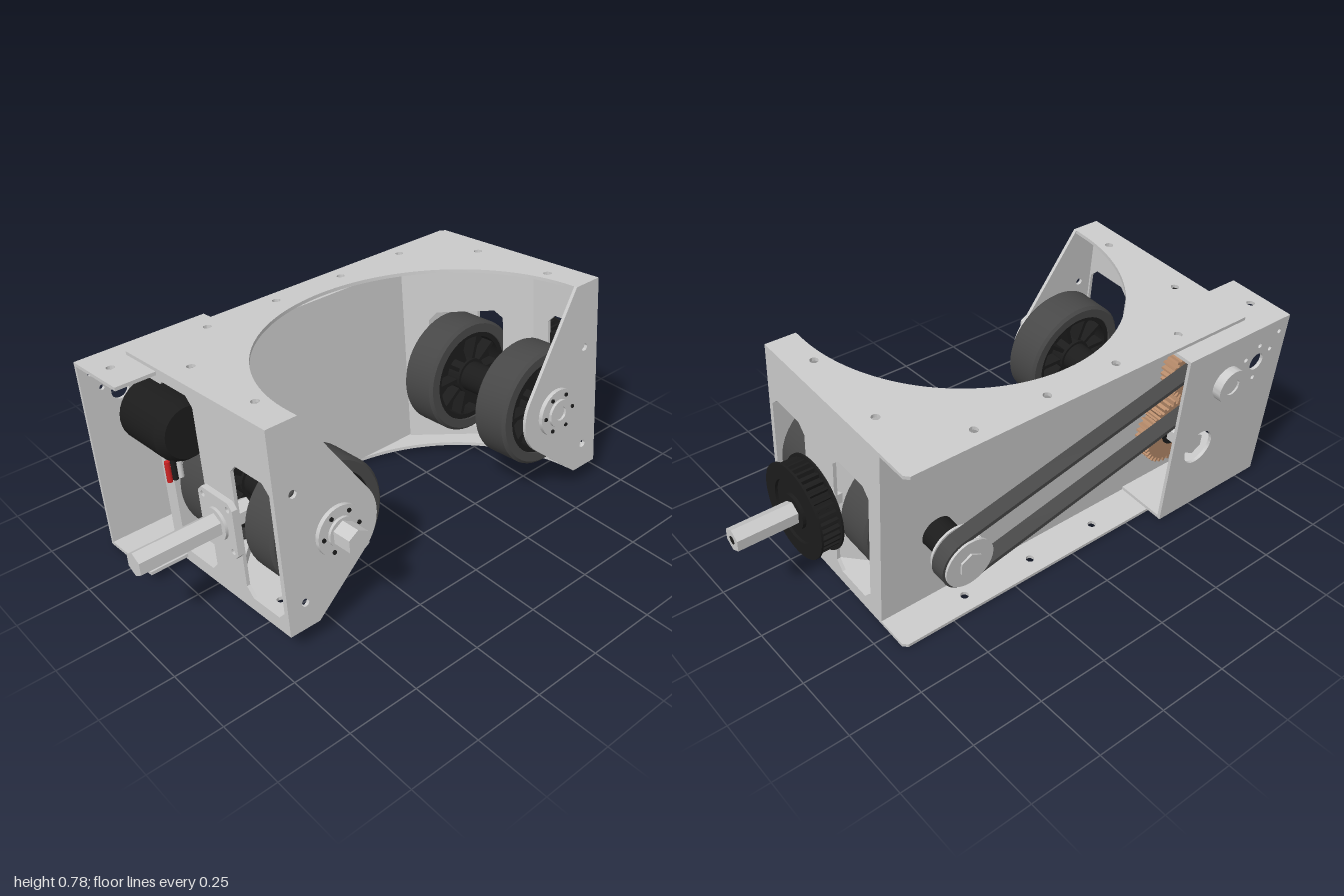
import * as THREE from 'three';
import { toCreasedNormals } from 'three/addons/utils/BufferGeometryUtils.js';

const mat = (color, flatShading = false) =>
  new THREE.MeshStandardMaterial({ color, flatShading, side: THREE.DoubleSide });
const grey = mat(0xcccccc), greyFlat = mat(0xcccccc, true), black = mat(0x1c1c1c), rubber = mat(0x484848);
const bronze = mat(0xb98d6c), red = mat(0xcc2222);

const TOP = 0.423, BOT = -0.283, FRONT = 0.289, BACK = -0.33, HALF = 0.69, T = 0.012;
const AX = 0.48;                       // roller axle offset from the centre
const UP = [-0.555, 0.245];            // upper gear shaft
const MOTOR = [-0.70, 0.27];

function poly(points) { return new THREE.Shape(points.map(p => new THREE.Vector2(...p))); }
function rect(x0, y0, x1, y1, c = 0) { // rectangle with chamfered corners
  return c ? poly([[x0 + c, y0], [x1 - c, y0], [x1, y0 + c], [x1, y1 - c], [x1 - c, y1], [x0 + c, y1], [x0, y1 - c], [x0, y0 + c]])
    : poly([[x0, y0], [x1, y0], [x1, y1], [x0, y1]]);
}
function disc(x, y, r) { return new THREE.Shape().absarc(x, y, r, 0, Math.PI * 2, false); }
function ring(r, bore) { const s = disc(0, 0, r); s.holes.push(disc(0, 0, bore)); return s; }
function gearShape(r, teeth, depth, bore) {
  const pts = [];
  for (let i = 0; i < teeth; i++)
    for (const [f, h] of [[0, 0], [0.25, 0], [0.4, 1], [0.7, 1], [0.85, 0]]) {
      const a = (i + f) / teeth * Math.PI * 2, q = r - depth * (1 - h);
      pts.push([q * Math.cos(a), q * Math.sin(a)]);
    }
  const s = poly(pts);
  s.holes.push(disc(0, 0, bore));
  return s;
}
function extrude(shape, depth) {
  return toCreasedNormals(new THREE.ExtrudeGeometry(shape, { depth, bevelEnabled: false, curveSegments: 32 }), 0.5);
}
function add(parent, name, geo, material, x = 0, y = 0, z = 0) {
  const m = new THREE.Mesh(geo, material);
  m.name = name;
  m.position.set(x, y, z);
  parent.add(m);
  return m;
}
// Rod between z0 and z1; six sides makes a hex shaft
function rodZ(parent, name, r, z0, z1, material, x, y, sides = 32) {
  return add(parent, name, new THREE.CylinderGeometry(r, r, z1 - z0, sides).rotateX(Math.PI / 2), material, x, y, (z0 + z1) / 2);
}
function slab(parent, name, shape, z0, z1, material, x = 0, y = 0) {
  return add(parent, name, extrude(shape, z1 - z0), material, x, y, z0);
}

function wheel(parent, x, z) {
  const g = new THREE.Group();
  g.name = 'rollerWheel';
  g.position.set(x, 0, z);
  const h = 0.07;
  const profile = [[0.168, -h], [0.2, -h], [0.21, -h + 0.01], [0.21, h - 0.01], [0.2, h], [0.168, h], [0.168, -h]];
  const tread = new THREE.LatheGeometry(profile.map(p => new THREE.Vector2(...p)), 48).rotateX(Math.PI / 2);
  add(g, 'tread', toCreasedNormals(tread, 0.5), rubber);
  slab(g, 'rim', ring(0.168, 0.15), -0.062, 0.062, black);
  slab(g, 'wheelHub', ring(0.065, 0.03), -0.065, 0.065, black);
  slab(g, 'web', ring(0.155, 0.05), -0.008, 0.008, black);
  for (let i = 0; i < 10; i++) {
    const spoke = new THREE.BoxGeometry(0.1, 0.014, 0.11).translate(0.107, 0, 0);
    add(g, 'spoke', spoke, black).rotation.z = i * Math.PI / 5;
  }
  parent.add(g);
}

function bearing(parent, x, y, z) {
  slab(parent, 'bearingFlange', ring(0.085, 0.03), z, z + 0.015, grey, x, y);
  slab(parent, 'bearingRace', ring(0.05, 0.025), z + 0.015, z + 0.025, grey, x, y);
  for (let i = 0; i < 6; i++) {
    const a = i * Math.PI / 3;
    rodZ(parent, 'rivet', 0.007, z + 0.01, z + 0.02, black, x + 0.067 * Math.cos(a), y + 0.067 * Math.sin(a), 8);
  }
}

function beltPulley(parent, x, y) {
  slab(parent, 'beltPulley', gearShape(0.08, 24, 0.008, 0.03), -0.485, -0.42, grey, x, y);
  for (const z of [-0.493, -0.42]) slab(parent, 'pulleyFlange', ring(0.088, 0.03), z, z + 0.008, grey, x, y);
}

function buildFrame(g) {
  // Top and bottom plates with the round mouth
  const mouth = 0.58, cz = 0.25, plate = poly([[-HALF, FRONT], [-HALF, -0.44], [-HALF + 0.015, -0.455], [HALF - 0.015, -0.455], [HALF, -0.44], [HALF, FRONT], [mouth, FRONT]]);
  plate.absarc(0, cz, mouth, 0, -Math.PI, true);
  plate.lineTo(-mouth, FRONT);
  for (const s of [-1, 1])
    for (const [x, z] of [[0.14, -0.397], [0.415, -0.397], [0.61, -0.193], [0.61, 0.135]]) plate.holes.push(disc(s * x, z, 0.014));
  for (const [name, y] of [['topPlate', TOP], ['bottomPlate', BOT + T]])
    add(g, name, extrude(plate, T).rotateX(Math.PI / 2), grey, 0, y, 0);

  // Back panel with holes for the roller axles
  const back = rect(-HALF, BOT + T, HALF, TOP - T);
  for (const s of [-1, 1]) back.holes.push(disc(s * AX, 0, 0.058));
  slab(g, 'backPanel', back, BACK, BACK + T, grey);

  for (const s of [-1, 1]) {
    // Side plates with wheel windows, one made taller for the motor
    const side = rect(BACK, BOT + T, FRONT, TOP - T);
    side.holes.push(rect(-0.27, -0.235, -0.08, s < 0 ? 0.385 : 0.235, 0.03), rect(0.08, -0.235, 0.27, 0.235, 0.03));
    add(g, 'sidePlate', extrude(side, T).rotateY(-Math.PI / 2), grey, s > 0 ? HALF : -HALF + T, 0, 0);

    // Slanted inner guides, cut open for the rear wheels
    const guide = rect(0, BOT + T, 0.465, TOP - T);
    guide.holes.push(rect(0.09, -0.235, 0.355, 0.235, 0.03));
    add(g, 'innerGuide', extrude(guide, 0.008).rotateY(s > 0 ? -Math.PI / 4 : -3 * Math.PI / 4), grey, s * 0.35, 0, BACK + T);

    // Front plates with a rounded nose around the axle
    const rad = Math.PI / 180, front = poly([[0.58, BOT], [HALF, BOT], [HALF, TOP], [0.58, TOP]]);
    front.absarc(AX, 0, 0.15, 146 * rad, 229.5 * rad, false);
    for (const y of [-0.19, 0.19]) front.holes.push(disc(0.625, y, 0.014));
    const geo = extrude(front, T).translate(0, 0, -T / 2);
    add(g, 'frontPlate', s > 0 ? geo : geo.rotateY(Math.PI), grey, 0, 0, FRONT - T / 2);
  }
}

function buildRollers(g) {
  for (const s of [-1, 1]) {
    const x = s * AX;
    for (const z of [-0.175, 0.175]) wheel(g, x, z);
    rodZ(g, 'axleSleeve', 0.055, -0.3, 0.12, black, x, 0);
    rodZ(g, 'axleSpacer', 0.06, 0.12, 0.275, black, x, 0);
    bearing(g, x, 0, FRONT);
    rodZ(g, 'rollerAxle', 0.042, -0.5, s < 0 ? 0.385 : 0.305, greyFlat, x, 0, 6);
    rodZ(g, 'rearCollar', 0.056, -0.41, -0.3, black, x, 0);

    // Pivot shaft and its square bearing block
    const hex = new THREE.CylinderGeometry(0.04, 0.04, 0.4, 6).rotateY(Math.PI / 6).rotateZ(Math.PI / 2);
    add(g, 'pivotShaft', hex, greyFlat, s * 0.8, 0, 0);
    const block = rect(-0.09, -0.1, 0.09, 0.1, 0.02);
    for (const u of [-0.065, 0.065]) for (const v of [-0.075, 0.075]) block.holes.push(disc(u, v, 0.01));
    add(g, 'pivotBlock', extrude(block, 0.02).rotateY(-Math.PI / 2), grey, s > 0 ? HALF + 0.02 : -HALF, 0, 0);
    add(g, 'pivotBearing', new THREE.CylinderGeometry(0.055, 0.055, 0.03, 32).rotateZ(Math.PI / 2), grey, s * 0.705, 0, 0);
  }
}

function buildDrivePulley(g) {
  const p = new THREE.Group();
  p.name = 'drivePulley';
  p.position.x = 0.71;
  p.rotation.y = Math.PI / 2;
  slab(p, 'pulleyTeeth', gearShape(0.155, 36, 0.014, 0.11), 0, 0.08, black);
  for (const z of [0, 0.073]) slab(p, 'drivePulleyFlange', ring(0.164, 0.11), z, z + 0.007, black);
  slab(p, 'drivePulleyWeb', ring(0.112, 0.03), 0.01, 0.07, black);
  slab(p, 'drivePulleyHub', ring(0.06, 0.03), 0, 0.082, black);
  g.add(p);
  add(g, 'shaftBore', new THREE.CylinderGeometry(0.014, 0.014, 0.004, 16).rotateZ(Math.PI / 2), black, 0.9985, 0, 0);
}

function buildDrive(g) {
  // Two meshing gears, the upper one driven by the motor pinion
  const teeth = gearShape(0.134, 36, 0.016, 0.035);
  slab(g, 'upperGear', teeth, -0.405, -0.35, bronze, ...UP);
  slab(g, 'lowerGear', teeth, -0.405, -0.35, bronze, -AX, 0).rotation.z = Math.PI / 36;
  rodZ(g, 'upperShaft', 0.035, -0.545, -0.33, greyFlat, ...UP, 6);
  rodZ(g, 'upperCollar', 0.055, -0.52, -0.49, black, ...UP);
  rodZ(g, 'gearHub', 0.06, -0.35, -0.335, grey, ...UP);
  slab(g, 'shaftBearing', ring(0.062, 0.03), -0.552, -0.52, grey, ...UP);
  beltPulley(g, ...UP);
  beltPulley(g, AX, 0);

  // Belt as a stadium loop
  const dx = AX - UP[0], dy = -UP[1], len = Math.hypot(dx, dy);
  const loop = (r) => {
    const s = new THREE.Shape();
    s.absarc(0, 0, r, Math.PI / 2, Math.PI * 1.5, false);
    s.absarc(len, 0, r, -Math.PI / 2, Math.PI / 2, false);
    s.closePath();
    return s;
  };
  const belt = loop(0.096);
  belt.holes.push(loop(0.081));
  slab(g, 'belt', belt, -0.484, -0.43, rubber, ...UP).rotation.z = Math.atan2(dy, dx);

  // Motor with leads
  rodZ(g, 'motorBody', 0.105, -0.325, -0.13, black, ...MOTOR);
  add(g, 'motorCap', new THREE.CylinderGeometry(0.085, 0.105, 0.03, 32).rotateX(Math.PI / 2), black, ...MOTOR, -0.115);
  rodZ(g, 'motorPinion', 0.024, -0.405, -0.325, grey, ...MOTOR, 12);
  [[-0.775, red], [-0.755, black], [-0.735, grey]].forEach(([x, m]) =>
    add(g, 'motorLead', new THREE.CylinderGeometry(0.009, 0.009, 0.07, 10), m, x, 0.155, -0.13));
}

function buildGearCover(g) {
  const x0 = -0.83, x1 = -0.35, y0 = -0.27, y1 = 0.411, z0 = -0.52;
  const back = rect(x0, y0, x1, y1, 0.012);
  back.holes.push(disc(-AX, 0, 0.065), disc(...MOTOR, 0.032), disc(...UP, 0.035));
  for (const [x, y] of [[-0.76, 0.3], [-0.7, 0.335], [-0.64, 0.3], [-0.7, 0.205], [-0.79, 0.36]]) back.holes.push(disc(x, y, 0.009));
  slab(g, 'coverBack', back, z0, z0 + T, grey);
  // Flanges wrap the body corner
  const flange = poly([[x0, z0], [x1, z0], [x1, BACK], [-HALF, BACK], [-HALF, -0.266], [x0, -0.266]]);
  flange.holes.push(disc(-0.77, -0.397, 0.014));
  for (const y of [y1, y0 + T]) add(g, 'coverFlange', extrude(flange, T).rotateX(Math.PI / 2), grey, 0, y, 0);
}

export function createModel() {
  const model = new THREE.Group();
  model.name = 'rollerIntake';
  // The whole assembly leans back around the pivot shaft
  const body = new THREE.Group();
  body.name = 'tiltedBody';
  body.position.set(0, 0.33, 0.095);
  body.rotation.x = -0.1;
  model.add(body);
  for (const build of [buildFrame, buildRollers, buildDrivePulley, buildDrive, buildGearCover]) build(body);
  return model;
}
